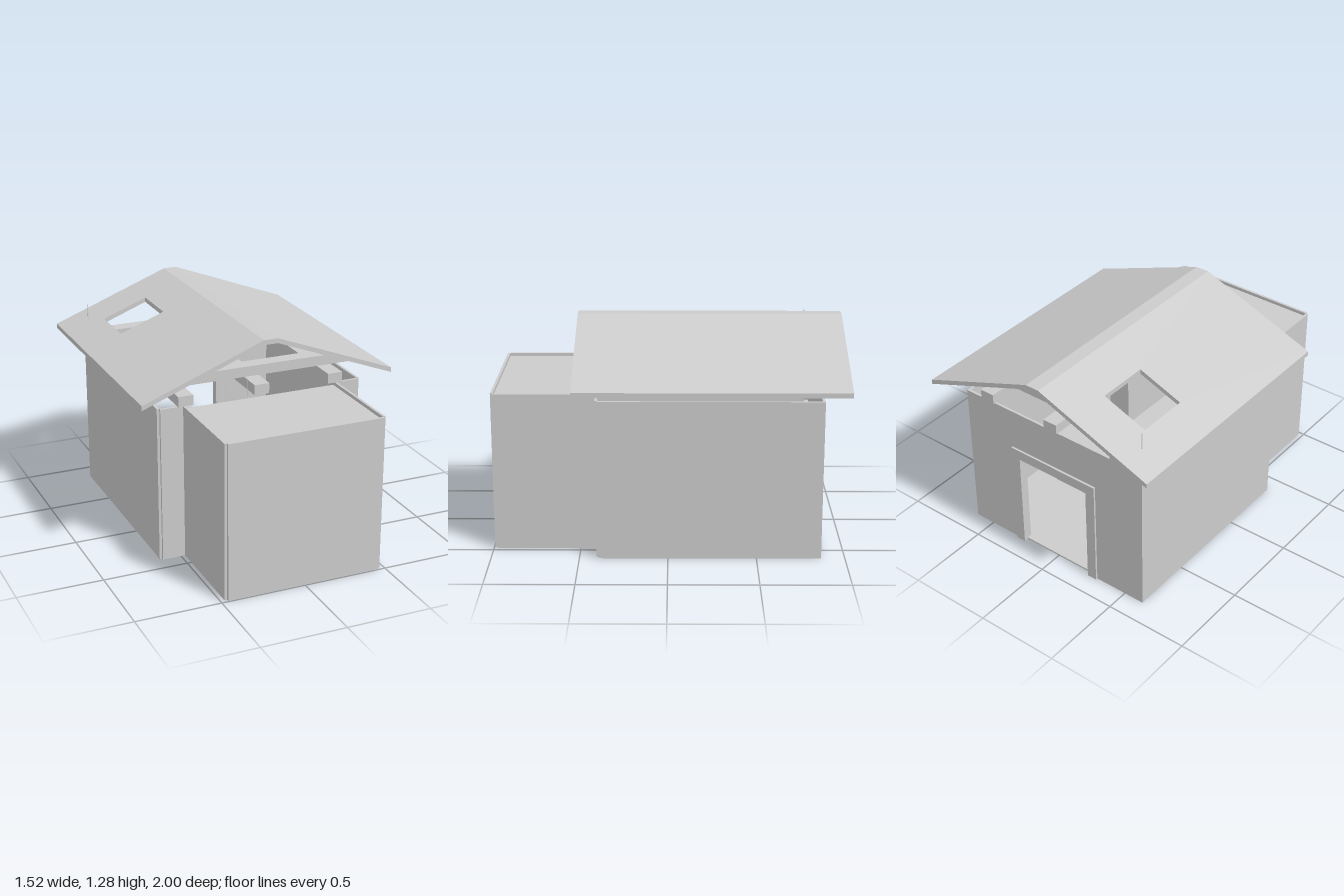
import * as THREE from 'three';

const mat = new THREE.MeshStandardMaterial({ color: 0xcccccc, flatShading: true, side: THREE.DoubleSide });

export function createModel() {
  const root = new THREE.Group();
  root.name = 'cabin';

  const add = (name, geo) => {
    const m = new THREE.Mesh(geo, mat);
    m.name = name;
    root.add(m);
    return m;
  };
  // Box given by its minimum and maximum on each axis
  const box = (name, x0, x1, y0, y1, z0, z1) =>
    add(name, new THREE.BoxGeometry(x1 - x0, y1 - y0, z1 - z0)
      .translate((x0 + x1) / 2, (y0 + y1) / 2, (z0 + z1) / 2));
  const polygon = (pts) => new THREE.Shape(pts.map(([x, y]) => new THREE.Vector2(x, y)));
  const extrude = (shape, depth) => new THREE.ExtrudeGeometry(shape, { depth, bevelEnabled: false });

  const H = 0.92;      // wall height
  const T = 0.015;     // wall thickness
  const W = 0.61;      // main room half width
  const A = 0.46;      // front room half width
  const zBack = -0.85, zStep = 0.39, zFront = 0.98;

  // Stepped floor slab, under both rooms
  const floor = extrude(polygon([
    [-W, zBack], [W, zBack], [W, zStep], [A, zStep],
    [A, zFront], [-A, zFront], [-A, zStep], [-W, zStep],
  ]), 0.01).rotateX(Math.PI / 2).translate(0, 0.01, 0);
  add('floor', floor);

  // Thin outer walls, each set just outside the floor edge
  for (const s of [-1, 1]) {
    const side = s > 0 ? 'left' : 'right';
    const wall = (name, a, b, z0, z1) =>
      box(side + name, Math.min(s * a, s * b), Math.max(s * a, s * b), 0, H, z0, z1);
    wall('MainWall', W, W + T, zBack, zStep);
    wall('ShoulderWall', A + T, W, zStep, zStep + T);
    wall('FrontRoomWall', A, A + T, zStep, zFront);
  }
  box('frontWall', -A, A, 0, H, zFront, zFront + T);
  box('frontRoomCeiling', -A, A, 0.885, 0.9, zStep, zFront);

  // Back wall with a doorway
  const D = 0.24, doorTop = 0.61;
  add('backWall', extrude(polygon([
    [-W - T, 0], [-D, 0], [-D, doorTop], [D, doorTop], [D, 0], [W + T, 0], [W + T, H], [-W - T, H],
  ]), T).translate(0, 0, zBack - T));

  // Door surround standing proud of the wall
  const F = D + 0.06;
  add('doorFrame', extrude(polygon([
    [-F, 0], [-D, 0], [-D, doorTop], [D, doorTop], [D, 0], [F, 0], [F, 0.67], [-F, 0.67],
  ]), 0.055).translate(0, 0, -0.877));

  // Lengthwise beams on the walls, then cross beams on top of them
  for (const x of [-0.46, 0, 0.46]) box('longBeam', x - 0.045, x + 0.045, H, 0.98, -0.875, 0.41);
  for (const z of [-0.7, 0.22]) box('crossBeam', -0.64, 0.64, 0.98, 1.04, z - 0.045, z + 0.045);

  // Roof plates: flat outlines, sheared upwards towards the ridge
  const roofPlate = (name, x0, x1, y0, y1, hole) => {
    const shape = polygon([[x0, -1], [x1, -1], [x1, 0.525], [x0, 0.525]]);
    if (hole) shape.holes.push(polygon(hole));
    const geo = extrude(shape, 0.028).rotateX(Math.PI / 2);
    const p = geo.attributes.position;
    for (let i = 0; i < p.count; i++) {
      p.setY(i, p.getY(i) + y0 + (y1 - y0) * (p.getX(i) - x0) / (x1 - x0));
    }
    geo.computeVertexNormals();
    add(name, geo);
  };
  const eave = 1.008, ridge = 1.282, R = 0.76, r = 0.042;
  roofPlate('rightRoofSlope', -R, -r, eave, ridge,
    [[-0.54, -0.73], [-0.54, -0.42], [-0.27, -0.42], [-0.27, -0.73]]);
  roofPlate('roofRidge', -r, r, ridge, ridge);
  roofPlate('leftRoofSlope', r, R, ridge, eave);

  // Simple furniture inside the main room
  box('counter', -0.1, 0.453, 0.01, 0.32, -0.33, 0);
  box('wallShelf', 0.46, W, 0.26, 0.3, -0.6, 0.2);
  box('cornerCabinet', -0.6, -0.4, 0.01, 0.4, -0.83, -0.485);

  // Slender rods
  const rod = (name, x, z, y0, y1) =>
    add(name, new THREE.CylinderGeometry(0.002, 0.002, y1 - y0, 6).translate(x, (y0 + y1) / 2, z));
  rod('cornerRod', -0.606, -0.84, 0.4, 1.165);
  rod('shortRod', -0.07, 0.37, 0.9, 1.01);

  return root;
}
